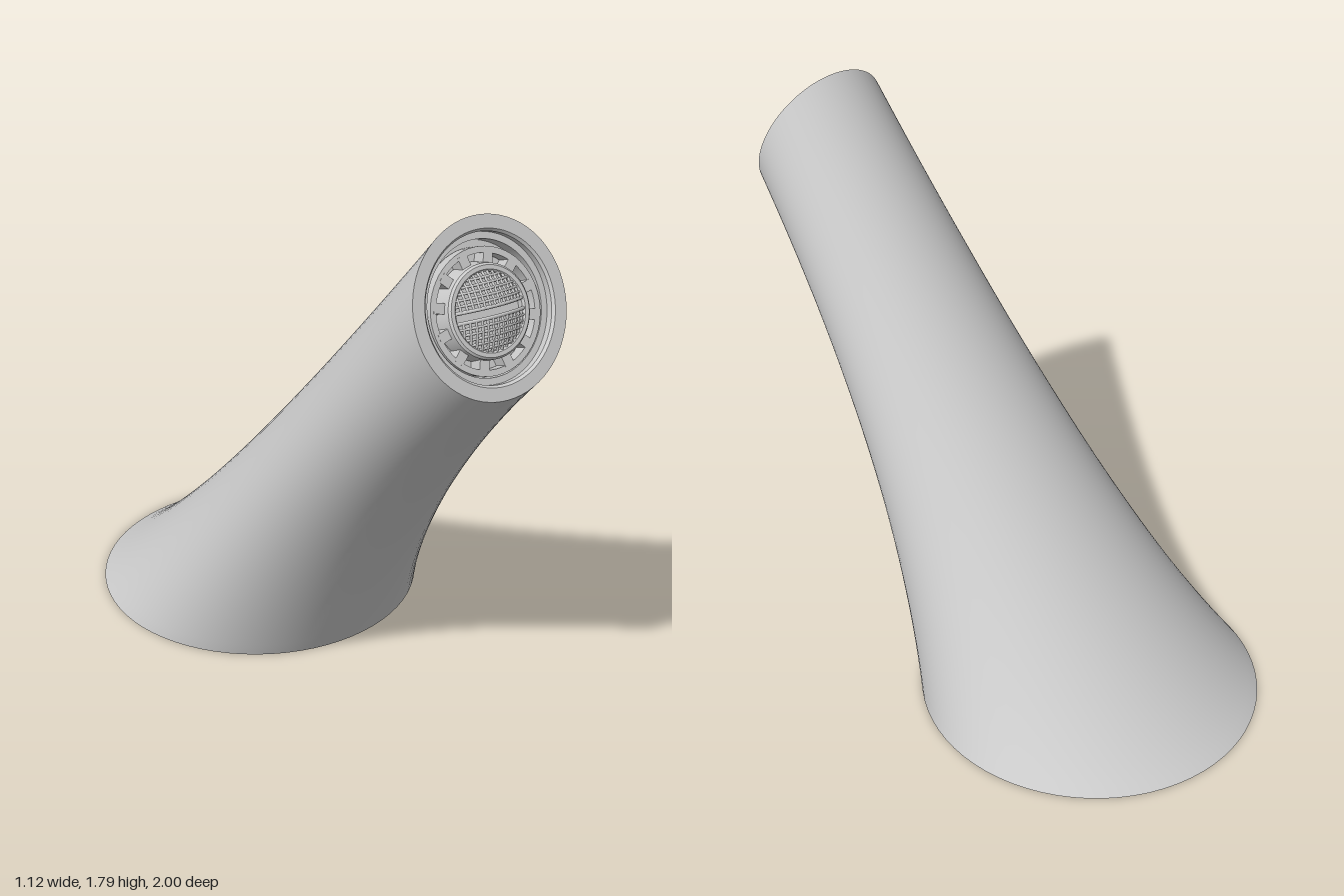
import * as THREE from 'three';
import { toCreasedNormals } from 'three/addons/utils/BufferGeometryUtils.js';

const grey = new THREE.MeshStandardMaterial({ color: 0xcccccc });
const thin = new THREE.MeshStandardMaterial({ color: 0xcccccc, side: THREE.DoubleSide });

function add(parent, name, geometry, material = grey) {
  const mesh = new THREE.Mesh(geometry, material);
  mesh.name = name;
  parent.add(mesh);
  return mesh;
}

// Quadratic curve in the side plane, as (z, y)
const curve = (a, b, c) => new THREE.QuadraticBezierCurve(
  new THREE.Vector2(...a), new THREE.Vector2(...b), new THREE.Vector2(...c));

// Leaning, tapering spout: elliptical sections between an upper and a lower edge
function spoutGeometry() {
  const upper = curve([-1, 0], [-0.54, 0.275], [0.8, 1.785]);
  const lower = curve([0.125, 0], [0.45, 0.727], [1, 1.315]);
  const width = curve([0.5625, 0], [0.316, 0], [0.248, 0]);
  const rows = 28, cols = 72, pos = [], index = [];
  for (let i = 0; i <= rows; i++) {
    const t = i / rows;
    const u = upper.getPoint(t), l = lower.getPoint(t), w = width.getPoint(t).x;
    for (let j = 0; j < cols; j++) {
      const a = (j / cols) * Math.PI * 2, s = (1 + Math.sin(a)) / 2;
      pos.push(w * Math.cos(a), l.y + (u.y - l.y) * s, l.x + (u.x - l.x) * s);
      if (i === rows) continue;
      const k = (j + 1) % cols;
      const p = i * cols + j, q = i * cols + k;
      index.push(p, q, q + cols, p, q + cols, p + cols);
    }
  }
  const g = new THREE.BufferGeometry();
  g.setAttribute('position', new THREE.Float32BufferAttribute(pos, 3));
  g.setIndex(index);
  g.computeVertexNormals();
  return g;
}

// Turned part whose axis points along local +z; profile pairs are (radius, z)
function turned(profile, segments = 64) {
  const g = new THREE.LatheGeometry(profile.map(([r, z]) => new THREE.Vector2(r, z)), segments);
  g.rotateX(Math.PI / 2);
  return toCreasedNormals(g, 0.6);
}

export function createModel() {
  const model = new THREE.Group();
  model.name = 'spout';
  add(model, 'spoutBody', spoutGeometry());

  // Flat underside
  const base = add(model, 'baseUnderside', new THREE.CircleGeometry(0.5625, 72).rotateX(Math.PI / 2));
  base.position.z = -0.4375;

  // Outlet assembly on the tilted mouth
  const outlet = new THREE.Group();
  outlet.name = 'outlet';
  outlet.position.set(0, 1.55, 0.9);
  outlet.rotation.x = -Math.atan2(0.1, 0.235);
  model.add(outlet);

  // Rim with a stepped socket
  const socket = add(outlet, 'rimAndSocket', turned([
    [0.25, 0], [0.212, 0], [0.205, -0.008], [0.205, -0.03],
    [0.186, -0.03], [0.186, -0.075], [0, -0.075],
  ], 72), thin);
  socket.scale.set(0.248 / 0.25, 0.2554 / 0.25, 1);

  const aerator = new THREE.Group();
  aerator.name = 'aerator';
  aerator.position.y = -0.008;
  outlet.add(aerator);

  // Outer ring, notch blocks and inner collar
  add(aerator, 'outerRing', turned([
    [0.178, -0.07], [0.178, -0.028], [0.16, -0.028], [0.16, -0.07]]));
  for (let i = 0; i < 12; i++) {
    const a = ((i + 0.5) / 12) * Math.PI * 2;
    const block = add(aerator, 'notchBlock', new THREE.BoxGeometry(0.034, 0.03, 0.045));
    block.position.set(Math.cos(a) * 0.15, Math.sin(a) * 0.15, -0.05);
    block.rotation.z = a;
  }
  add(aerator, 'innerCollar', turned([
    [0.138, -0.07], [0.132, -0.012], [0.126, -0.006], [0.114, -0.006], [0.108, -0.012], [0.108, -0.06]]));

  // Domed strainer made of crossed wires, split by a middle band
  const R = 0.11, gap = 0.014;
  const dome = (x, y) => new THREE.Vector3(x, y, -0.012 + 0.036 * (1 - (x * x + y * y) / (R * R)));
  const wire = (name, x0, y0, x1, y1, radius) => {
    const points = [];
    for (let i = 0; i <= 6; i++) {
      const t = i / 6;
      points.push(dome(x0 + (x1 - x0) * t, y0 + (y1 - y0) * t));
    }
    add(aerator, name, new THREE.TubeGeometry(new THREE.CatmullRomCurve3(points), 10, radius, 6));
  };
  for (let i = -6; i <= 6; i++) {
    const c = i * 0.0158, h = Math.sqrt(R * R - c * c);
    for (const side of [-1, 1]) wire('strainerWire', c, side * gap, c, side * h, 0.0042);
    if (i !== 0) wire('strainerWire', -h, c, h, c, 0.0042);
  }
  for (const side of [-1, 1]) wire('bandRail', -0.109, side * gap, 0.109, side * gap, 0.005);

  // Backing plate behind the strainer
  const plate = add(aerator, 'strainerPlate', new THREE.CircleGeometry(0.11, 48));
  plate.position.z = -0.03;

  return model;
}
